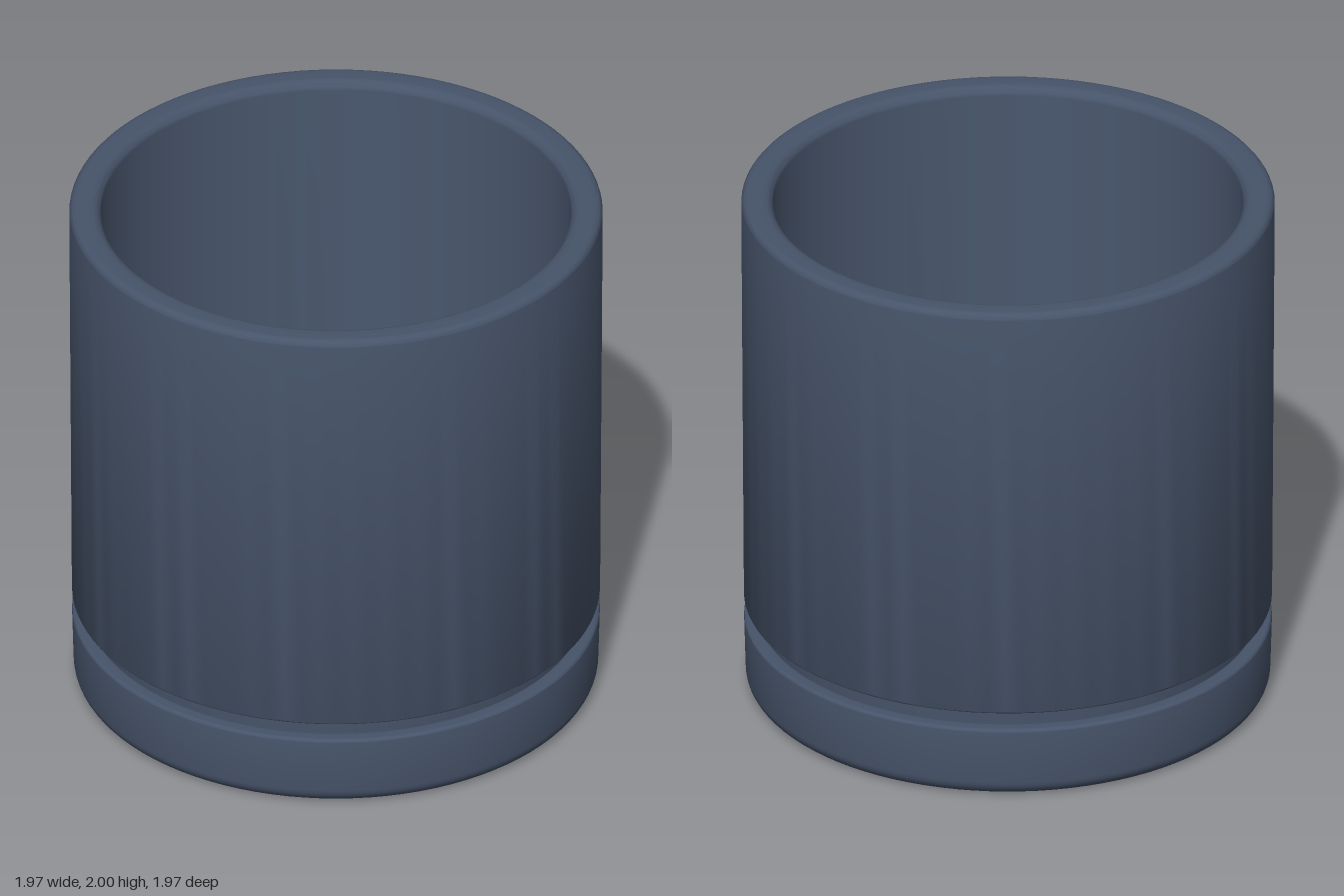
import * as THREE from 'three';
import { toCreasedNormals } from 'three/addons/utils/BufferGeometryUtils.js';

// Turns a list of [radius, height, fillet] corners into a lathed solid with rounded edges
function turned(name, corners, material) {
  const points = [];
  corners.forEach(([x, y, fillet], i) => {
    const corner = new THREE.Vector2(x, y);
    if (!fillet) {
      points.push(corner);
      return;
    }
    const toward = ([px, py]) =>
      new THREE.Vector2(px, py).sub(corner).setLength(fillet).add(corner);
    const a = toward(corners[i - 1]);
    const b = toward(corners[i + 1]);
    // Sweep a quarter arc between the two tangent points
    for (let s = 0; s <= 8; s++) {
      const t = (s / 8) * Math.PI / 2;
      points.push(corner.clone()
        .addScaledVector(a.clone().sub(corner), 1 - Math.sin(t))
        .addScaledVector(b.clone().sub(corner), 1 - Math.cos(t)));
    }
  });
  const geometry = toCreasedNormals(new THREE.LatheGeometry(points, 96), Math.PI / 6);
  const mesh = new THREE.Mesh(geometry, material);
  mesh.name = name;
  return mesh;
}

export function createModel() {
  const group = new THREE.Group();
  group.name = 'planter';
  const slate = new THREE.MeshStandardMaterial({ color: 0x465369 });
  slate.name = 'slate blue glaze';

  // Pot: recessed foot, gently flared wall, rounded rim and hollow inside
  group.add(turned('pot', [
    [0, 0.12, 0],
    [0.91, 0.12, 0],
    [0.91, 0.345, 0],
    [0.973, 0.345, 0.014],
    [0.983, 2, 0.03],
    [0.865, 2, 0.04],
    [0.865, 0.45, 0.03],
    [0, 0.45, 0],
  ], slate));

  // Saucer: shallow dish holding the foot
  group.add(turned('saucer', [
    [0, 0, 0],
    [0.965, 0, 0.06],
    [0.973, 0.28, 0.014],
    [0.915, 0.28, 0.01],
    [0.915, 0.12, 0],
    [0, 0.12, 0],
  ], slate));

  return group;
}
